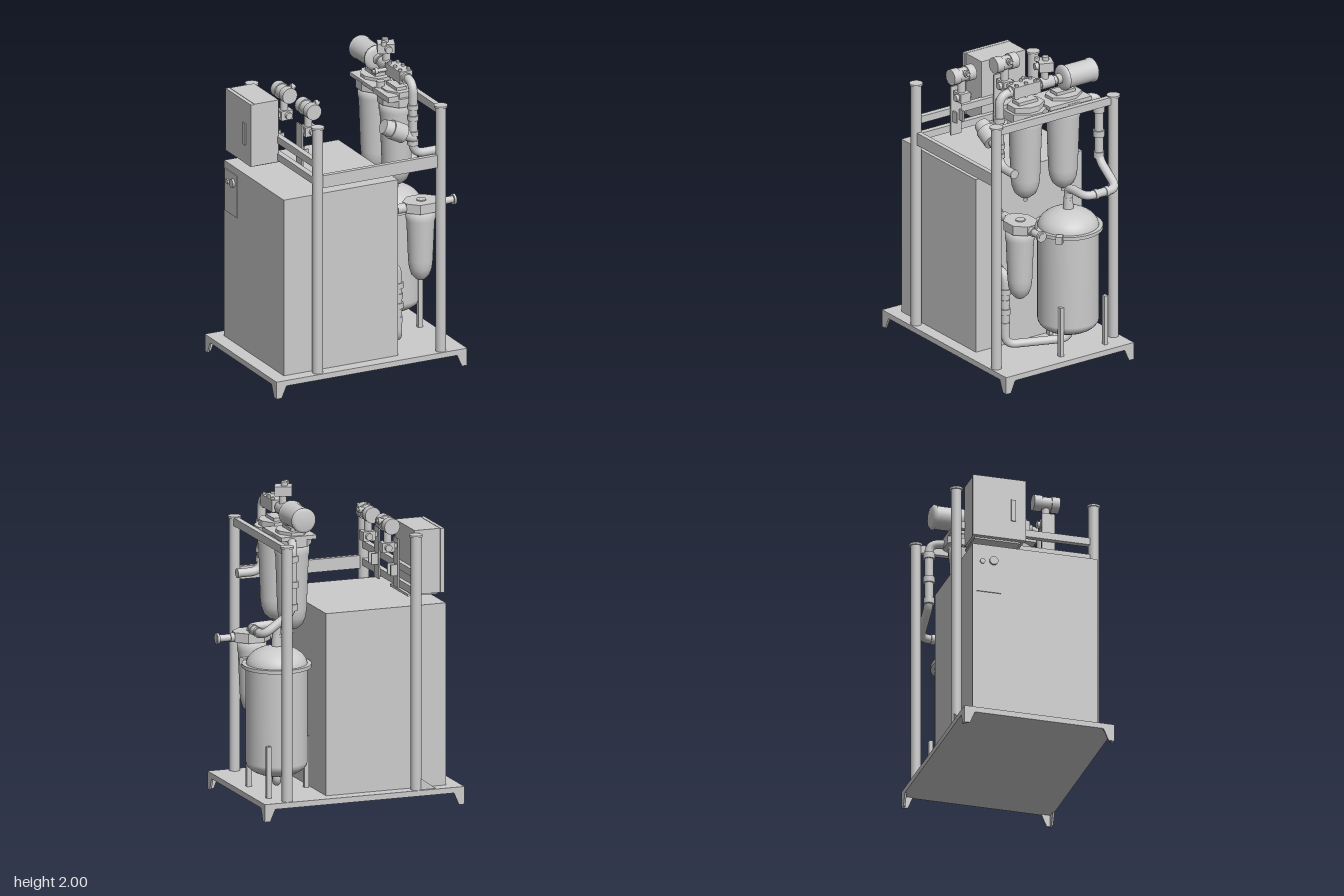
import * as THREE from 'three';

const V = (x, y, z) => new THREE.Vector3(x, y, z);
const mat = new THREE.MeshStandardMaterial({ color: 0xcccccc });
const matTwo = new THREE.MeshStandardMaterial({ color: 0xcccccc, side: THREE.DoubleSide });

export function createModel() {
  const root = new THREE.Group();
  const add = (name, geo, p = [0, 0, 0], m = mat) => {
    const mesh = new THREE.Mesh(geo, m);
    mesh.name = name;
    mesh.position.set(...p);
    root.add(mesh);
    return mesh;
  };
  // box from min/max extents
  const box = (name, x0, x1, y0, y1, z0, z1) =>
    add(name, new THREE.BoxGeometry(x1 - x0, y1 - y0, z1 - z0), [(x0 + x1) / 2, (y0 + y1) / 2, (z0 + z1) / 2]);
  // cylinder or cone between two points
  const rod = (name, a, b, r0, r1 = r0, seg = 24) => {
    const A = V(...a), B = V(...b), d = B.clone().sub(A);
    const mesh = add(name, new THREE.CylinderGeometry(r1, r0, d.length(), seg));
    mesh.position.copy(A).add(B).multiplyScalar(0.5);
    mesh.quaternion.setFromUnitVectors(V(0, 1, 0), d.normalize());
    return mesh;
  };
  // pipe through corner points with rounded bends
  const pipe = (name, pts, r, bend = 0.06) => {
    const P = pts.map(p => V(...p)), path = new THREE.CurvePath();
    let from = P[0];
    for (let i = 1; i < P.length - 1; i++) {
      const back = P[i - 1].clone().sub(P[i]), fwd = P[i + 1].clone().sub(P[i]);
      const a = P[i].clone().addScaledVector(back.clone().normalize(), Math.min(bend, back.length() * 0.48));
      const b = P[i].clone().addScaledVector(fwd.clone().normalize(), Math.min(bend, fwd.length() * 0.48));
      path.add(new THREE.LineCurve3(from, a));
      path.add(new THREE.QuadraticBezierCurve3(a, P[i], b));
      from = b;
    }
    path.add(new THREE.LineCurve3(from, P[P.length - 1]));
    add(name, new THREE.TubeGeometry(path, 100, r, 18), [0, 0, 0], matTwo);
    rod(name + 'Start', pts[0], P[0].clone().lerp(P[1], 0.05).toArray(), r * 1.08);
    const n = P.length - 1;
    rod(name + 'End', P[n].clone().lerp(P[n - 1], 0.05).toArray(), pts[n], r * 1.08);
  };
  const lathe = (name, prof, p) =>
    add(name, new THREE.LatheGeometry(prof.map(q => new THREE.Vector2(...q)), 40), p, matTwo);
  // horizontal plate with tapered ends, extruded upwards
  const plate = (name, pts, h, p) => {
    const g = new THREE.ExtrudeGeometry(new THREE.Shape(pts.map(q => new THREE.Vector2(...q))), { depth: h, bevelEnabled: false });
    return add(name, g.rotateX(-Math.PI / 2), p);
  };

  // Base slab with tapered angle feet
  box('baseSlab', -0.67, 0.63, 0.075, 0.11, -0.475, 0.475);
  const foot = () => new THREE.Shape([[0, 0], [0.035, 0], [0.07, 0.08], [0, 0.08]].map(q => new THREE.Vector2(...q)));
  for (const sx of [-1, 1]) for (const sz of [-1, 1]) {
    const corner = [sx < 0 ? -0.67 : 0.63, 0, sz * 0.475];
    const opt = { depth: 0.012, bevelEnabled: false };
    const along = add('footFrontPlate', new THREE.ExtrudeGeometry(foot(), opt), corner);
    along.rotation.y = sx > 0 ? Math.PI : 0;
    along.position.z += sx > 0 ? (sz > 0 ? 0 : 0.012) : (sz > 0 ? -0.012 : 0);
    const side = add('footSidePlate', new THREE.ExtrudeGeometry(foot(), opt), corner);
    side.rotation.y = sz * Math.PI / 2;
    side.position.x += sz > 0 ? (sx > 0 ? -0.012 : 0) : (sx > 0 ? 0 : 0.012);
  }

  // Frame posts, caps and rails
  for (const x of [-0.37, 0.47]) for (const z of [-0.435, 0.435]) {
    rod('post', [x, 0.11, z], [x, 1.69, z], 0.033);
    rod('postCap', [x, 1.685, z], [x, 1.697, z], 0.041);
  }
  box('frontRail', -0.37, 0.45, 1.3, 1.38, 0.42, 0.45);
  box('sideRailTop', 0.453, 0.487, 1.64, 1.69, -0.43, 0.43);
  for (const y of [1.32, 1.43]) box('sideRail', -0.388, -0.352, y, y + 0.045, -0.43, 0.43);
  const gusset = new THREE.Shape([[0, 0], [0.11, 0], [0.11, 0.08]].map(q => new THREE.Vector2(...q)));
  for (const z of [-0.457, -0.417])
    add('postGusset', new THREE.ExtrudeGeometry(gusset, { depth: 0.006, bevelEnabled: false }), [-0.49, 0.11, z]);

  // Main cabinet with operating panel
  box('cabinet', -0.58, 0.2, 0.11, 1.245, -0.395, 0.395);
  box('cabinetPanel', -0.586, -0.575, 0.93, 1.2, -0.375, -0.215);
  rod('panelKnob', [-0.585, 1.14, -0.265], [-0.6, 1.14, -0.265], 0.027);
  rod('panelButton', [-0.585, 1.13, -0.335], [-0.595, 1.13, -0.335], 0.016);

  // Control box on the side rails
  box('controlBox', -0.545, -0.38, 1.31, 1.71, -0.385, -0.06);
  box('controlBoxDoor', -0.572, -0.548, 1.31, 1.71, -0.39, -0.055);
  box('controlBoxHinge', -0.55, -0.54, 1.33, 1.69, -0.375, -0.07);
  box('doorHandle', -0.58, -0.57, 1.43, 1.57, -0.15, -0.12);
  box('controlBoxBracket', -0.54, -0.34, 1.3, 1.315, -0.37, -0.08);

  // Pair of transmitters on brackets
  for (const z of [-0.165, 0.155]) {
    box('transmitterBracket', -0.352, -0.343, 1.3, 1.62, z - 0.04, z + 0.04);
    box('bracketFoot', -0.345, -0.3, 1.39, 1.46, z - 0.03, z - 0.02);
    box('bracketFoot', -0.345, -0.3, 1.39, 1.46, z + 0.02, z + 0.03);
    rod('transmitterHousing', [-0.29, 1.71, z - 0.06], [-0.29, 1.71, z + 0.06], 0.043);
    for (const s of [-1, 1])
      rod('transmitterCover', [-0.29, 1.71, z + s * 0.03], [-0.29, 1.71, z + s * 0.081], 0.05);
    rod('cableGland', [-0.27, 1.735, z], [-0.215, 1.735, z], 0.013, 0.013, 8);
    rod('cableGlandNut', [-0.245, 1.735, z], [-0.225, 1.735, z], 0.022, 0.022, 6);
    rod('transmitterNeck', [-0.29, 1.6, z], [-0.29, 1.68, z], 0.024);
    box('sensorBlock', -0.325, -0.245, 1.54, 1.6, z - 0.035, z + 0.035);
    box('sensorArm', -0.345, -0.3, 1.56, 1.59, z - 0.02, z + 0.02);
    rod('sensorPort', [-0.28, 1.57, z - 0.055], [-0.28, 1.57, z + 0.055], 0.022, 0.022, 12);
  }

  // Pressure vessel
  const vx = 0.42, vz = -0.135;
  const vessel = [[0, 0.2]];
  for (let i = 1; i <= 8; i++) {
    const t = i / 8 * Math.PI / 2;
    vessel.push([0.188 * Math.sin(t), 0.29 - 0.09 * Math.cos(t)]);
  }
  for (let i = 0; i <= 10; i++) {
    const t = i / 10 * Math.PI / 2;
    vessel.push([0.188 * Math.cos(t), 0.89 + 0.12 * Math.sin(t)]);
  }
  lathe('vesselBody', vessel, [vx, 0, vz]);
  rod('vesselFlange', [vx, 0.878, vz], [vx, 0.9, vz], 0.212, 0.212, 40);
  const clamp = box('flangeClamp', 0.545, 0.585, 0.865, 0.912, 0.01, 0.055);
  clamp.rotation.y = Math.PI / 4;
  for (const [x, z] of [[0.545, -0.32], [0.545, 0.01], [0.228, -0.135]])
    box('vesselLeg', x - 0.015, x + 0.015, 0.11, 0.43, z - 0.013, z + 0.013);
  rod('vesselNeck', [vx, 0.99, vz], [vx, 1.08, vz], 0.034, 0.028);

  // Pipe from the vessel to the rear filter
  pipe('vesselOutletPipe', [[vx, 1.06, vz], [vx, 1.145, vz], [0.6, 1.14, vz - 0.005], [0.6, 1.14, -0.37],
    [0.41, 1.27, -0.37], [0.41, 1.68, -0.37], [0.37, 1.68, -0.26]], 0.027, 0.06);
  for (const [y, r] of [[1.3, 0.033], [1.44, 0.036], [1.6, 0.036]])
    rod('pipeCollar', [0.41, y - 0.02, -0.37], [0.41, y + 0.02, -0.37], r);
  for (const z of [-0.21, -0.29]) rod('pipeCollar', [0.6, 1.14, z - 0.012], [0.6, 1.14, z + 0.012], 0.032);

  // Filters: tapered bowl hanging below a head
  const bowl = (name, x, z, top, h, r) => lathe(name, [[0, -h], [r * 0.3, -h + 0.005], [r * 0.62, -h + 0.035],
    [r * 0.78, -h + 0.08], [r * 0.84, -h + 0.13], [r * 0.95, -0.08], [r, -0.06], [r, 0], [0, 0]], [x, top, z]);
  const hex = (a, b) => [[-a, -b * 0.3], [-a * 0.45, -b], [a * 0.45, -b], [a, -b * 0.3],
    [a, b * 0.3], [a * 0.45, b], [-a * 0.45, b], [-a, b * 0.3]];
  for (const z of [0.12, -0.16]) {
    bowl('filterBowl', 0.33, z, 1.65, 0.54, 0.107);
    rod('filterDrain', [0.33, 1.085, z], [0.33, 1.13, z], 0.012, 0.012, 10);
    plate('filterHead', hex(0.118, 0.13), 0.055, [0.335, 1.645, z]);
    plate('filterHeadTop', hex(0.09, 0.11), 0.035, [0.335, 1.7, z]);
    box('filterIndicator', 0.295, 0.365, 1.73, 1.755, z - 0.07, z + 0.07);
  }
  box('headBridge', 0.22, 0.45, 1.69, 1.715, -0.29, 0.02);
  box('headBridgeFront', 0.21, 0.28, 1.69, 1.725, 0.05, 0.25);
  rod('headGauge', [0.255, 1.72, 0.055], [0.255, 1.765, 0.055], 0.025);

  // Front lower filter with through pipe
  bowl('lowerFilterBowl', 0.435, 0.235, 0.965, 0.455, 0.09);
  plate('lowerFilterHead', hex(0.115, 0.09), 0.06, [0.44, 0.963, 0.235]);
  rod('lowerFilterCap', [0.44, 1.02, 0.235], [0.44, 1.03, 0.235], 0.03);
  rod('throughPipe', [0.19, 0.99, 0.235], [0.67, 0.99, 0.235], 0.022);
  for (const [a, b, r] of [[0.2, 0.213, 0.035], [0.555, 0.58, 0.028], [0.653, 0.668, 0.034], [0.27, 0.33, 0.03]])
    rod('pipeFlange', [a, 0.99, 0.235], [b, 0.99, 0.235], r);

  // Cabinet outlet pipe to the vessel bottom
  pipe('cabinetOutletPipe', [[0.195, 0.62, 0.235], [0.28, 0.62, 0.235], [0.28, 0.15, 0.235],
    [0.42, 0.15, vz], [vx, 0.23, vz]], 0.026, 0.07);
  rod('outletFlange', [0.2, 0.62, 0.235], [0.215, 0.62, 0.235], 0.035);
  for (const [y, r] of [[0.5, 0.034], [0.43, 0.031], [0.37, 0.034], [0.28, 0.03]])
    rod('outletCollar', [0.28, y - 0.018, 0.235], [0.28, y + 0.018, 0.235], r);

  // Upper inlet pipe with angle seat valve
  pipe('upperPipe', [[0.5, 1.365, 0.32], [0.34, 1.365, 0.32], [0.34, 1.83, 0.32], [0.335, 1.83, -0.15]], 0.027, 0.075);
  for (const y of [1.44, 1.5, 1.6, 1.67])
    rod('upperPipeCollar', [0.34, y - 0.015, 0.32], [0.34, y + 0.015, 0.32], 0.035);
  rod('angleValveNeck', [0.34, 1.47, 0.32], [0.24, 1.52, 0.318], 0.033);
  rod('angleValveBody', [0.275, 1.505, 0.318], [0.19, 1.548, 0.315], 0.06);
  rod('angleValveCap', [0.19, 1.548, 0.315], [0.14, 1.573, 0.313], 0.052, 0.045);

  // Top flow block, ball valve, actuator and muffler
  box('flowBlock', 0.295, 0.38, 1.795, 1.87, 0.04, 0.235);
  for (const z of [0.07, 0.14, 0.21]) {
    rod('flowBlockBolt', [0.31, 1.785, z], [0.31, 1.883, z], 0.012, 0.012, 6);
    rod('flowBlockBolt', [0.365, 1.785, z], [0.365, 1.883, z], 0.012, 0.012, 6);
  }
  rod('flowBlockNut', [0.335, 1.83, 0.235], [0.335, 1.83, 0.255], 0.036, 0.036, 6);
  rod('sideLever', [0.3, 1.83, 0.05], [0.2, 1.83, 0.05], 0.012);
  rod('sideLeverTip', [0.235, 1.83, 0.05], [0.215, 1.83, 0.05], 0.02);
  rod('valveBody', [0.335, 1.83, 0.02], [0.335, 1.83, -0.075], 0.04, 0.04, 8);
  rod('valveStem', [0.335, 1.83, -0.02], [0.335, 1.92, -0.02], 0.024);
  const actuator = box('valveActuator', 0.28, 0.385, 1.915, 1.975, -0.07, 0.02);
  actuator.rotation.y = -0.4;
  rod('actuatorPort', [0.33, 1.97, -0.03], [0.33, 2, -0.03], 0.02);
  rod('actuatorPort', [0.3, 1.97, 0.012], [0.3, 1.995, 0.012], 0.016);
  rod('actuatorPlug', [0.33, 1.945, 0], [0.32, 1.945, 0.045], 0.022);
  lathe('muffler', [[0, 0], [0.055, 0], [0.075, 0.012], [0.08, 0.02], [0.08, 0.028], [0.072, 0.03], [0.072, 0.22],
    [0.077, 0.222], [0.077, 0.235], [0.06, 0.25], [0, 0.25]], [0.335, 1.83, -0.135]).rotation.x = -Math.PI / 2;
  rod('mufflerNut', [0.335, 1.83, -0.1], [0.335, 1.83, -0.13], 0.036, 0.036, 6);
  return root;
}
